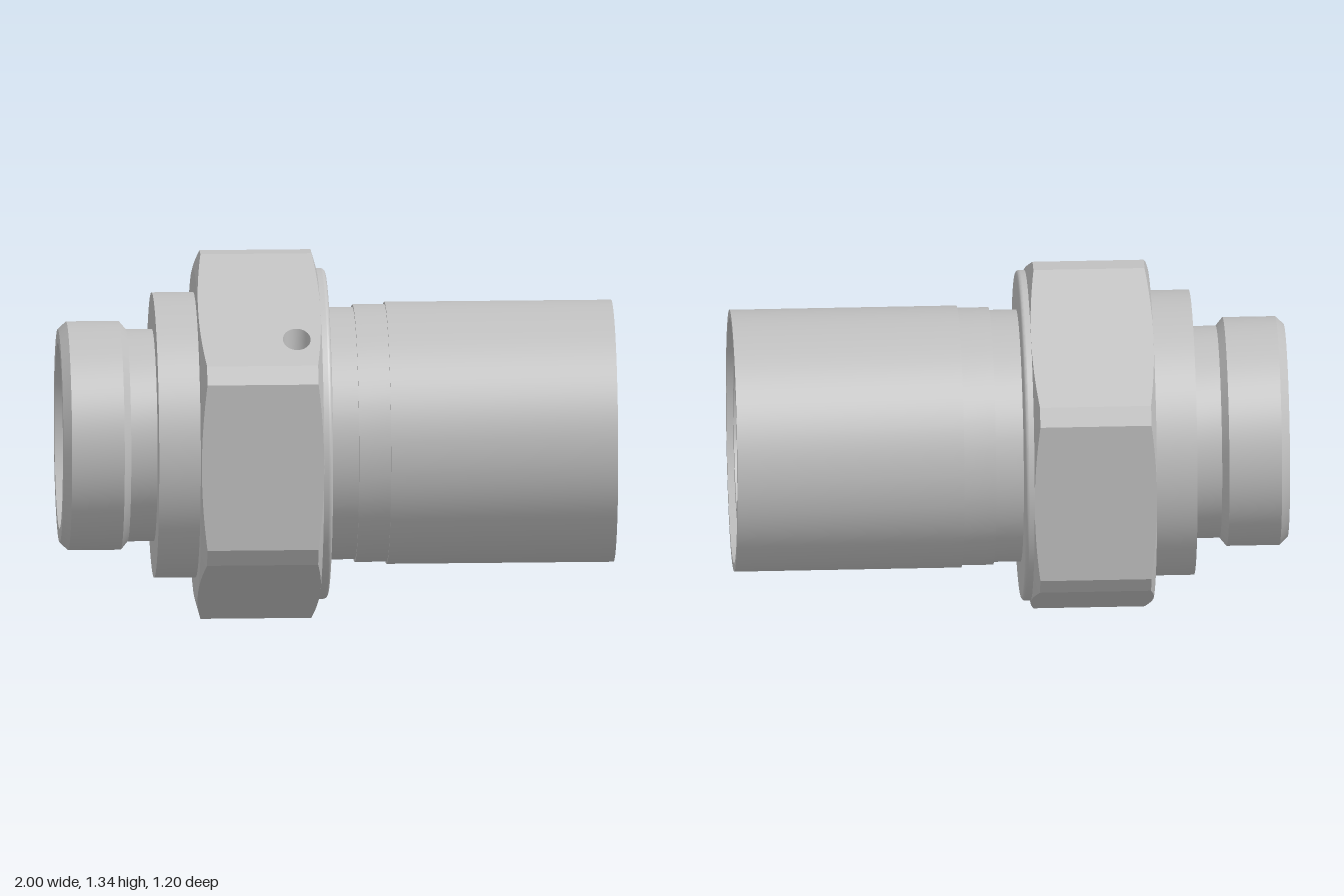
import * as THREE from 'three';
import { toCreasedNormals } from 'three/addons/utils/BufferGeometryUtils.js';

const AXIS_Y = 0.672; // height of the fitting's axis
const FLAT = 0.6; // hexagon apothem
const CORNER = 0.672; // apothem of the trimmed corners

export function createModel() {
  const steel = new THREE.MeshStandardMaterial({ color: 0xc0c0c0 });
  steel.name = 'steel';
  const model = new THREE.Group();
  model.name = 'pipeFitting';
  const fitting = new THREE.Group();
  fitting.name = 'fitting';
  fitting.position.y = AXIS_Y;
  model.add(fitting);

  const add = (name, geometry, parent = fitting) => {
    const mesh = new THREE.Mesh(geometry, steel);
    mesh.name = name;
    parent.add(mesh);
    return mesh;
  };

  // Turned part along x from [x, radius] pairs: outside left to right, then inside back
  const turned = (name, profile) => {
    const g = new THREE.LatheGeometry(profile.map(([x, r]) => new THREE.Vector2(r, x)), 96);
    g.rotateZ(-Math.PI / 2);
    return add(name, toCreasedNormals(g, 0.15));
  };

  // Left spigot with chamfered lip, groove, collar and conical mouth
  turned('spigotAndCollar', [
    [-1, 0.335], [-1, 0.385], [-0.97, 0.413], [-0.78, 0.413], [-0.755, 0.383], [-0.66, 0.383],
    [-0.66, 0.515], [-0.3, 0.515], [-0.3, 0.293], [-0.8, 0.293], [-1, 0.335],
  ]);

  // Right sleeve, stepped outside, with a conical recess
  turned('sleeve', [
    [-0.3, 0.293], [-0.3, 0.455], [0.065, 0.455], [0.065, 0.465], [0.18, 0.465], [0.18, 0.473],
    [1, 0.473], [1, 0.443], [0.8, 0.4], [0.8, 0.293], [-0.3, 0.293],
  ]);

  // Tapered inner tube inside the sleeve
  turned('innerTube', [[0.8, 0.357], [0.86, 0.357], [0.98, 0.33], [0.98, 0.293], [0.8, 0.293]]);

  // Round flange with a rolled edge against the nut
  const flange = [[-0.1, 0.45], [-0.1, 0.597]];
  for (let i = 0; i <= 12; i++) {
    const a = (i / 12) * Math.PI / 2;
    flange.push([-0.05 + 0.015 * Math.sin(a), 0.582 + 0.015 * Math.cos(a)]);
  }
  turned('flange', [...flange, [-0.035, 0.45]]);

  // Hexagon nut: trimmed corners, both ends cut by a shallow cone
  const nut = new THREE.Group();
  nut.name = 'hexNut';
  fitting.add(nut);
  const halfTrim = (FLAT - CORNER * Math.cos(Math.PI / 6)) * 2;
  const cornerR = Math.hypot(CORNER, halfTrim);
  const delta = Math.atan2(halfTrim, CORNER);
  const at = (a) => new THREE.Vector2(cornerR * Math.cos(a), cornerR * Math.sin(a)); // (y, z)
  const positions = [];
  const quad = (a, b, c, d) => [a, b, c, a, c, d].forEach((p) => positions.push(...p));

  // Rim points at one spot of the outline, from left inner edge to right inner edge
  const section = (p) => {
    const r = p.length();
    const dx = Math.max(0, r - FLAT) * 0.28;
    const ring = (x, radius) => [x, p.x * radius / r, p.y * radius / r];
    return [ring(-0.51, 0.45), ring(-0.51, FLAT), ring(-0.51 + dx, r),
      ring(-0.068 - dx, r), ring(-0.068, FLAT), ring(-0.068, 0.45)];
  };

  const side = (from, to, steps, open) => {
    const rows = [];
    for (let i = 0; i <= steps; i++) rows.push(section(from.clone().lerp(to, i / steps)));
    for (let i = 0; i < steps; i++) {
      for (let j = 0; j < 5; j++) {
        if (open && j === 2) continue;
        quad(rows[i][j], rows[i + 1][j], rows[i + 1][j + 1], rows[i][j + 1]);
      }
    }
    return rows;
  };

  let drilledRows;
  for (let k = 0; k < 6; k++) {
    const a = k * Math.PI / 3;
    const rows = side(at(a + delta), at(a + Math.PI / 3 - delta), 24, k === 0);
    if (k === 0) drilledRows = rows;
    side(at(a - delta), at(a + delta), 4, false);
  }
  const hex = new THREE.BufferGeometry();
  hex.setAttribute('position', new THREE.Float32BufferAttribute(positions, 3));
  hex.computeVertexNormals();
  add('hexBody', hex, nut);

  // Upper front flat, with the opening of a vertical drilled hole
  const c = Math.cos(Math.PI / 6), s = 0.5;
  const holeX = -0.16, holeZ = 0.44, holeR = 0.05;
  const planeY = (z) => (FLAT - s * z) / c;
  const along = (y, z) => -s * y + c * z;
  const outline = [
    ...drilledRows.map((r) => r[2]),
    ...drilledRows.map((r) => r[3]).reverse(),
  ].map(([x, y, z]) => new THREE.Vector2(along(y, z), x));
  const face = new THREE.Shape(outline);
  const opening = new THREE.Path();
  opening.absellipse(along(planeY(holeZ), holeZ), holeX, holeR / c, holeR, 0, Math.PI * 2, true);
  face.holes.push(opening);
  const faceGeometry = new THREE.ShapeGeometry(face, 32);
  faceGeometry.applyMatrix4(new THREE.Matrix4().makeBasis(
    new THREE.Vector3(0, -s, c), new THREE.Vector3(1, 0, 0), new THREE.Vector3(0, c, s),
  ).setPosition(0, FLAT * c, FLAT * s));
  add('drilledFlat', faceGeometry, nut);

  // Hole wall facing inward, its upper rim following the flat
  const floorY = planeY(holeZ) - 0.1;
  const wall = new THREE.CylinderGeometry(holeR, holeR, 1, 32, 1, true);
  wall.scale(-1, 1, 1);
  wall.translate(holeX, 0, holeZ);
  const p = wall.attributes.position;
  for (let i = 0; i < p.count; i++) p.setY(i, p.getY(i) > 0 ? planeY(p.getZ(i)) : floorY);
  wall.computeVertexNormals();
  add('holeWall', wall, nut);
  const floor = new THREE.CircleGeometry(holeR, 32);
  floor.rotateX(-Math.PI / 2);
  floor.translate(holeX, floorY, holeZ);
  add('holeFloor', floor, nut);

  return model;
}
